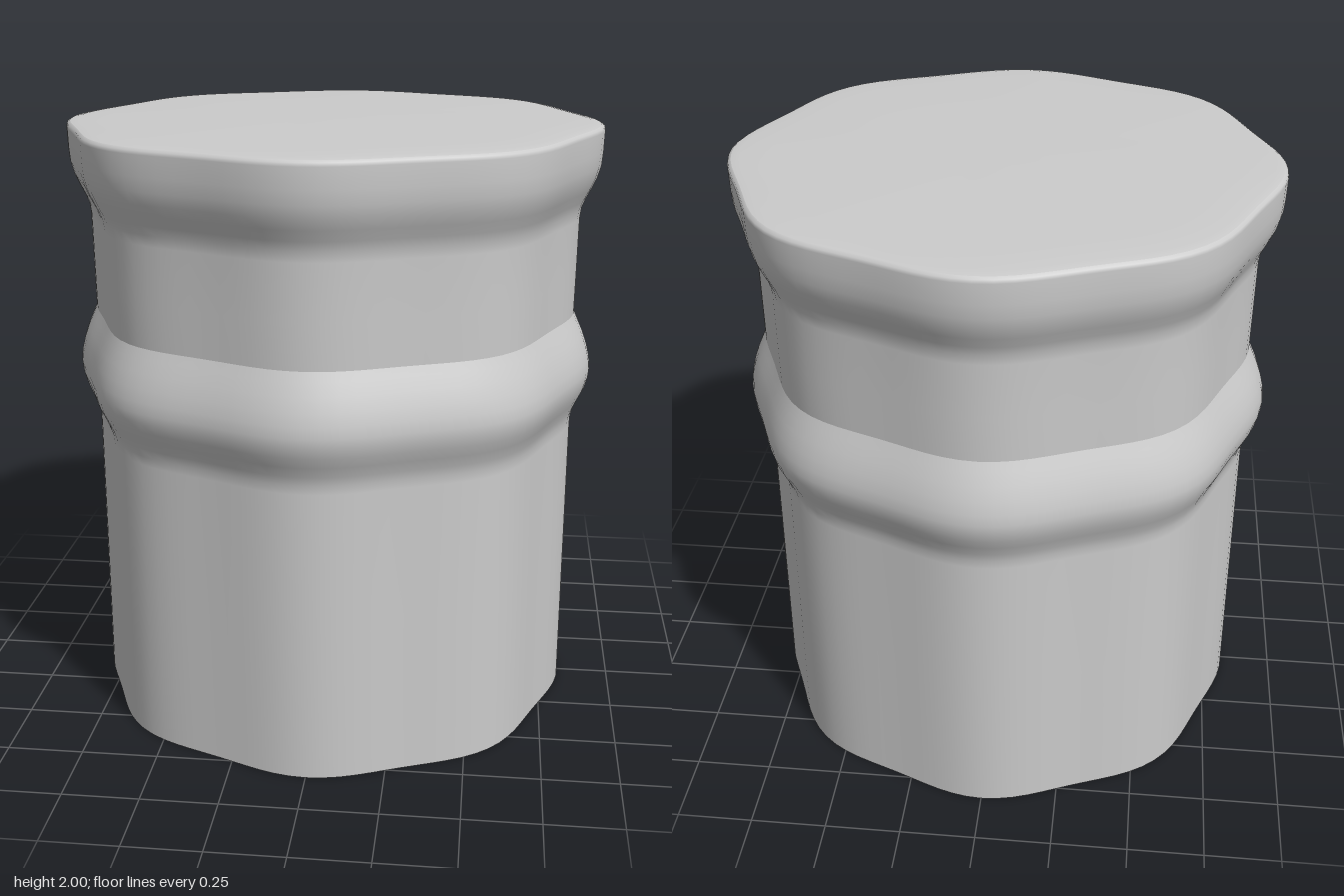
import * as THREE from 'three';
import { mergeVertices } from 'three/addons/utils/BufferGeometryUtils.js';

const material = new THREE.MeshStandardMaterial({ color: 0xcccccc, side: THREE.DoubleSide });

// Lathe a [radius, y] profile, then press the round section into a soft eight-lobed one
function lobedShell(name, profile) {
  const points = profile.map(([r, y]) => new THREE.Vector2(r, y));
  let geometry = new THREE.LatheGeometry(points, 96);
  const pos = geometry.attributes.position;
  for (let i = 0; i < pos.count; i++) {
    const x = pos.getX(i), z = pos.getZ(i);
    const k = 0.98 + 0.02 * Math.cos(8 * Math.atan2(z, x));
    pos.setX(i, x * k);
    pos.setZ(i, z * k);
  }
  // Weld the seam so the normals run smoothly all round
  geometry.deleteAttribute('uv');
  geometry.deleteAttribute('normal');
  geometry = mergeVertices(geometry, 1e-5);
  geometry.computeVertexNormals();
  const mesh = new THREE.Mesh(geometry, material);
  mesh.name = name;
  return mesh;
}

export function createModel() {
  const group = new THREE.Group();
  group.name = 'lobedCanister';

  // Open-bottomed lower wall with the bulging middle band
  group.add(lobedShell('lowerBodyAndBand', [
    [0.823, 0], [0.823, 0.5], [0.823, 0.97], [0.825, 1.0], [0.834, 1.03],
    [0.85, 1.065], [0.867, 1.1], [0.877, 1.135], [0.88, 1.165], [0.876, 1.2],
    [0.866, 1.24], [0.85, 1.285], [0.832, 1.325], [0.819, 1.355],
  ]));

  // Neck flaring out into the rim
  group.add(lobedShell('neckAndRim', [
    [0.819, 1.355], [0.821, 1.5], [0.823, 1.68], [0.828, 1.715], [0.84, 1.745],
    [0.858, 1.78], [0.874, 1.815], [0.885, 1.855], [0.889, 1.9], [0.891, 1.965],
    [0.888, 1.976], [0.878, 1.982],
  ]));

  // Slightly domed closed top
  group.add(lobedShell('lid', [
    [0.878, 1.982], [0.85, 1.987], [0.75, 1.991], [0.5, 1.996], [0.25, 1.999], [0, 2],
  ]));
  return group;
}
